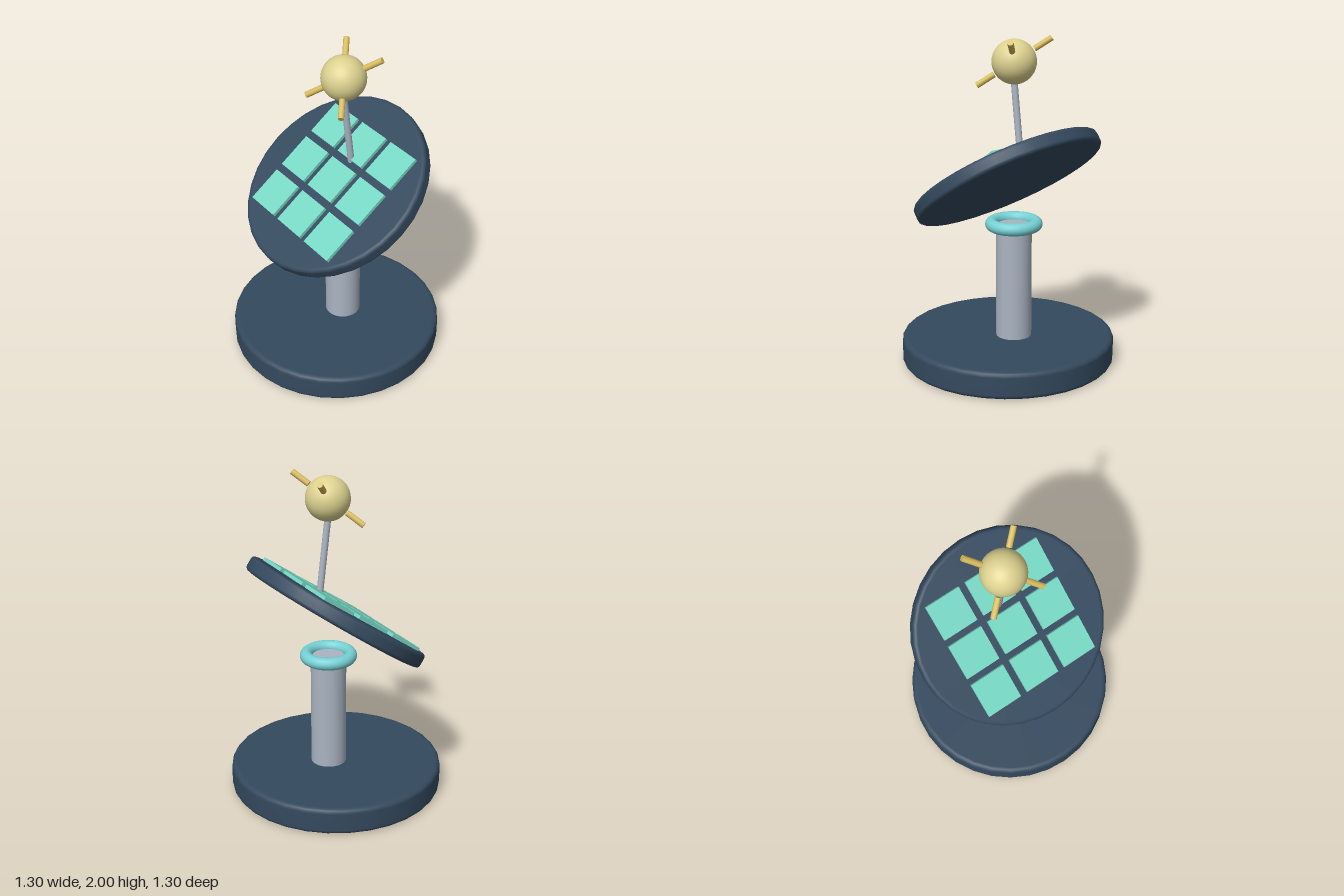
import * as THREE from 'three';

const mat = (name, color) => new THREE.MeshStandardMaterial({ name, color });

// Round slab with softly rounded rims, centred on its own origin
function slabGeometry(radius, height, bevel) {
  const h = height / 2, steps = 4;
  const pts = [[0, -h], [radius - bevel - 0.004, -h]];
  for (let i = 0; i <= steps; i++) {
    const a = (i / steps) * Math.PI / 2;
    pts.push([radius - bevel + Math.sin(a) * bevel, -h + bevel - Math.cos(a) * bevel]);
  }
  for (let i = 0; i <= steps; i++) {
    const a = (i / steps) * Math.PI / 2;
    pts.push([radius - bevel + Math.cos(a) * bevel, h - bevel + Math.sin(a) * bevel]);
  }
  pts.push([radius - bevel - 0.004, h], [0, h]);
  return new THREE.LatheGeometry(pts.map(p => new THREE.Vector2(...p)), 32);
}

// Cylinder running between two points
function rodGeometry(a, b, radius, sides) {
  const dir = b.clone().sub(a);
  const geo = new THREE.CylinderGeometry(radius, radius, dir.length(), sides);
  geo.applyQuaternion(new THREE.Quaternion().setFromUnitVectors(
    new THREE.Vector3(0, 1, 0), dir.clone().normalize()));
  const mid = a.clone().add(b).multiplyScalar(0.5);
  return geo.translate(mid.x, mid.y, mid.z);
}

export function createModel() {
  const model = new THREE.Group();
  model.name = 'tiltedPanelStand';
  const navy = mat('navy', 0x34495e);
  const steel = mat('steel', 0xaab4c2);
  const mint = mat('mint', 0x76d7c4);
  const aqua = mat('aqua', 0x76d0d4);
  const paleGold = mat('paleGold', 0xddd290);
  const gold = mat('gold', 0xd8bc5c);

  const add = (parent, name, geo, material, x = 0, y = 0, z = 0) => {
    const mesh = new THREE.Mesh(geo, material);
    mesh.name = name;
    mesh.position.set(x, y, z);
    parent.add(mesh);
    return mesh;
  };

  // Base, column and collar ring
  add(model, 'base', slabGeometry(0.65, 0.165, 0.028), navy, 0, 0.0825, 0);
  add(model, 'column', new THREE.CylinderGeometry(0.108, 0.108, 0.73, 32), steel, 0, 0.505, -0.052);
  const ring = new THREE.TorusGeometry(0.135, 0.038, 16, 40).rotateX(Math.PI / 2);
  add(model, 'collarRing', ring, aqua, 0, 0.872, -0.052);

  // Tilted dish with a three by three grid of tiles
  const dish = new THREE.Group();
  dish.name = 'tiltedDish';
  dish.position.set(0, 1.143, -0.001);
  dish.rotation.x = THREE.MathUtils.degToRad(35);
  model.add(dish);
  add(dish, 'dishPlate', slabGeometry(0.595, 0.09, 0.022), navy);
  const tile = new THREE.BoxGeometry(0.226, 0.025, 0.24);
  tile.scale(1, 1, 0.226 / 0.24);
  for (let row = -1; row <= 1; row++)
    for (let col = -1; col <= 1; col++)
      add(dish, 'tile', tile, mint, col * 0.271, 0.0525, row * 0.271);

  // Leaning rod and globe
  const globeCentre = new THREE.Vector3(0, 1.848, -0.053);
  add(model, 'rod', rodGeometry(new THREE.Vector3(0, 1.26, -0.111),
    new THREE.Vector3(0, 1.76, -0.05), 0.02, 16), steel);
  add(model, 'globe', new THREE.SphereGeometry(0.132, 32, 20), paleGold,
    ...globeCentre.toArray());

  // Four short pegs around the globe
  for (const sx of [-1, 1])
    for (const sy of [-1, 1]) {
      const dir = new THREE.Vector3(sx * 0.165, sy * 0.138, -sy * 0.142).normalize();
      const from = globeCentre.clone().addScaledVector(dir, 0.138);
      const to = globeCentre.clone().addScaledVector(dir, 0.258);
      add(model, 'peg', rodGeometry(from, to, 0.018, 12), gold);
    }

  return model;
}
